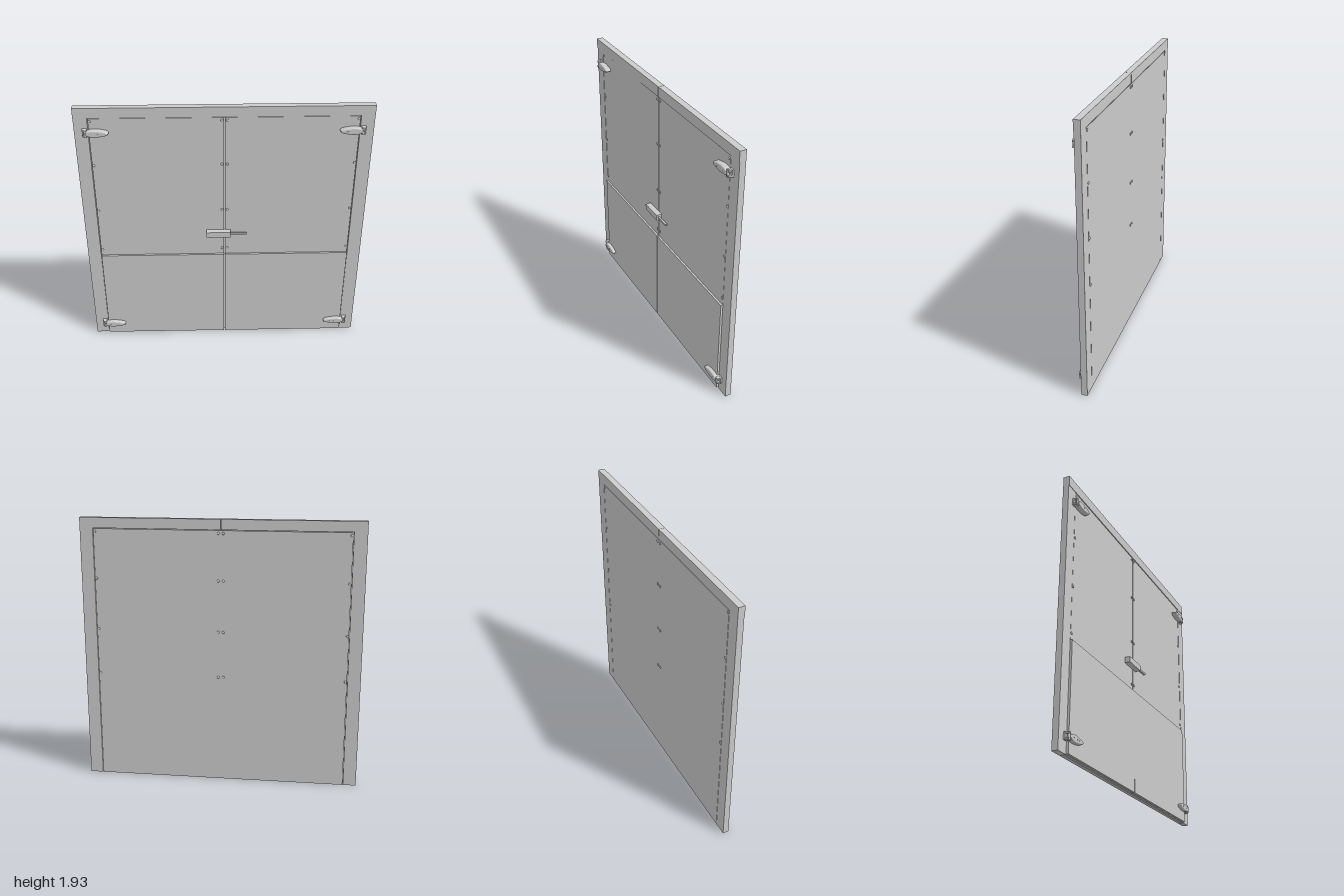
import * as THREE from 'three';

const grey = new THREE.MeshStandardMaterial({ color: 0xcccccc });

function add(parent, name, geometry) {
  const mesh = new THREE.Mesh(geometry, grey);
  mesh.name = name;
  parent.add(mesh);
  return mesh;
}

// box given by its minimum and maximum corners
function box(parent, name, [x0, y0, z0], [x1, y1, z1]) {
  const mesh = add(parent, name, new THREE.BoxGeometry(x1 - x0, y1 - y0, z1 - z0));
  mesh.position.set((x0 + x1) / 2, (y0 + y1) / 2, (z0 + z1) / 2);
  return mesh;
}

// hinge for the +x side; the origin is at the strap height on the door face
function createHinge() {
  const hinge = new THREE.Group();
  hinge.name = 'hinge';

  // leaf-shaped strap, widest near the knuckle
  const outline = new THREE.Shape();
  outline.moveTo(0.922, -0.012);
  outline.bezierCurveTo(0.89, -0.03, 0.85, -0.028, 0.80, -0.017);
  outline.bezierCurveTo(0.76, -0.01, 0.76, 0.01, 0.80, 0.017);
  outline.bezierCurveTo(0.85, 0.028, 0.89, 0.03, 0.922, 0.012);
  outline.closePath();
  const strap = add(hinge, 'hingeStrap', new THREE.ExtrudeGeometry(outline, {
    depth: 0.024, bevelThickness: 0.01, bevelSize: 0.008, bevelOffset: -0.008, bevelSegments: 3, curveSegments: 10,
  }));
  strap.position.z = 0.008;

  // mounting plate, its two lugs and the knuckle pin
  box(hinge, 'hingePlate', [0.914, -0.025, 0], [0.946, 0.025, 0.012]);
  for (const y of [-0.024, 0.012]) box(hinge, 'hingeLug', [0.914, y, 0.01], [0.942, y + 0.012, 0.034]);
  const pin = add(hinge, 'hingePin', new THREE.CylinderGeometry(0.009, 0.009, 0.052, 16));
  pin.position.set(0.924, 0, 0.028);

  // strap screws
  for (const x of [0.82, 0.845, 0.885]) {
    const screw = add(hinge, 'hingeScrew', new THREE.CylinderGeometry(0.004, 0.004, 0.002, 12));
    screw.rotation.x = Math.PI / 2;
    screw.position.set(x, 0, 0.0425);
  }
  return hinge;
}

export function createModel() {
  const model = new THREE.Group();
  model.name = 'doubleDoor';
  const back = -0.041, top = 1.93, opening = 0.907, head = 1.857, gap = 0.004;

  const frame = new THREE.Group();
  frame.name = 'frame';
  const doors = new THREE.Group();
  doors.name = 'doors';
  const rivets = new THREE.Group();
  rivets.name = 'rivets';
  model.add(frame, doors, rivets);

  // solid core behind both leaves
  box(doors, 'doorCore', [-opening + gap, 0, back], [opening - gap, head - gap, -0.015]);

  const dome = new THREE.SphereGeometry(0.0095, 16, 6, 0, Math.PI * 2, 0, Math.PI / 2);
  dome.scale(1, 0.65, 1).rotateX(Math.PI / 2);

  for (const side of [-1, 1]) {
    // spans between two distances from the middle line, on this side
    const slab = (parent, name, a, b, y0, y1, z0, z1) =>
      box(parent, name, [Math.min(side * a, side * b), y0, z0], [Math.max(side * a, side * b), y1, z1]);

    // post and half of the header
    slab(frame, 'post', opening, 1, 0, head, back, 0.002);
    slab(frame, 'header', 0.001, 1, head, top, back, 0.005);

    // door leaf with its kick plate
    slab(doors, 'doorLeaf', 0.003, opening - gap, 0.004, head - gap, -0.016, 0.001);
    slab(doors, 'kickPlate', 0.003, opening - gap, 0.006, 0.745, 0, 0.015);

    // rivets on both faces, along both edges of the leaf
    for (const x of [0.018, 0.893]) {
      for (const y of [0.795, 1.13, 1.5, 1.833]) {
        add(rivets, 'frontRivet', dome).position.set(side * x, y, 0.001);
        const rear = add(rivets, 'backRivet', dome);
        rear.position.set(side * x, y, back);
        rear.rotation.y = Math.PI;
      }
    }

    // upper and lower hinges; a half turn makes the matching opposite hinge
    for (const y of [0.105, 1.757]) {
      const hinge = createHinge();
      hinge.position.set(0, y, 0.001);
      if (side < 0) {
        hinge.children.forEach((part) => {
          if (part.name === 'hingeStrap') {
            part.rotation.y = Math.PI;
            part.position.z = 0.032;
          } else part.position.x *= -1;
        });
      }
      model.add(hinge);
    }
  }

  // latch across the meeting edges
  const latch = new THREE.Group();
  latch.name = 'latch';
  box(latch, 'latchCase', [-0.13, 0.915, 0], [0.043, 0.958, 0.042]);
  box(latch, 'latchBar', [0.04, 0.93, 0.017], [0.157, 0.944, 0.031]);
  model.add(latch);

  return model;
}
